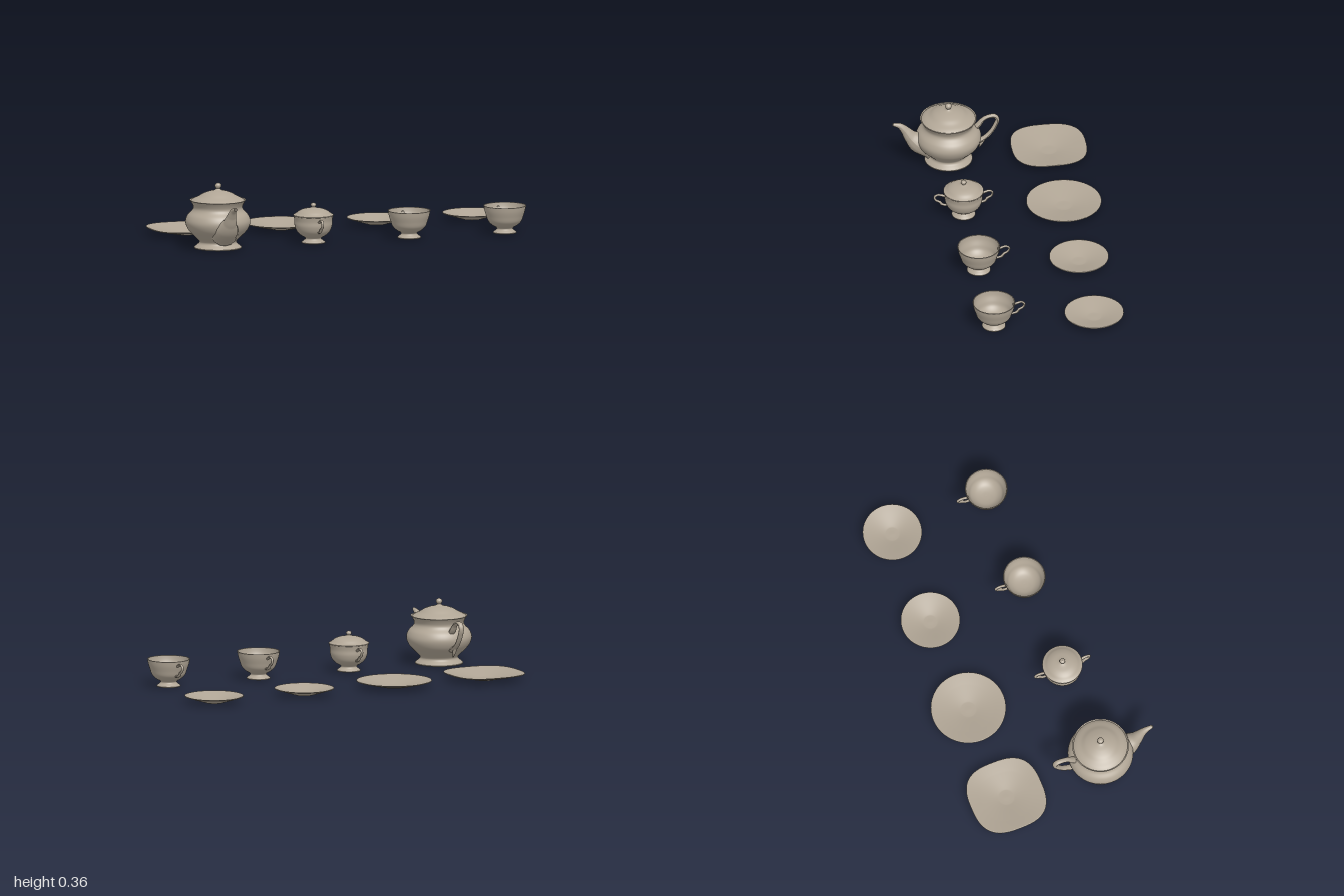
import * as THREE from 'three';

const V2 = (p) => new THREE.Vector2(p[0], p[1]);

export function createModel() {
  const root = new THREE.Group();
  root.name = 'teaSet';
  const china = new THREE.MeshStandardMaterial({ color: 0xb0a595, side: THREE.DoubleSide });
  china.name = 'china';

  const add = (parent, name, geometry) => {
    const mesh = new THREE.Mesh(geometry, china);
    mesh.name = name;
    parent.add(mesh);
    return mesh;
  };
  const group = (name, x, z) => {
    const g = new THREE.Group();
    g.name = name;
    g.position.set(x, 0, z);
    root.add(g);
    return g;
  };

  // Turned shape: each run of [radius, height] points is smoothed, with corners between runs
  const turned = (...runs) => {
    const pts = [];
    for (const run of runs) {
      const smooth = run.length > 2 ? new THREE.SplineCurve(run.map(V2)).getPoints(run.length * 5) : run.map(V2);
      for (const p of smooth) {
        p.x = Math.max(p.x, 0);
        if (!pts.length || pts[pts.length - 1].distanceTo(p) > 1e-5) pts.push(p);
      }
    }
    return new THREE.LatheGeometry(pts, 64);
  };

  // Tube through [z, y] points with a radius at each point, wide in x by the given factor
  const tapered = (points, radii, wide = 1) => {
    const curve = new THREE.CatmullRomCurve3(points.map(([z, y]) => new THREE.Vector3(0, y, z)));
    const n = 48, sides = 16;
    const geo = new THREE.TubeGeometry(curve, n, 1, sides, false);
    const pos = geo.attributes.position;
    const v = new THREE.Vector3();
    for (let i = 0; i <= n; i++) {
      const c = curve.getPointAt(i / n);
      const t = curve.getUtoTmapping(i / n) * (radii.length - 1);
      const k = Math.min(Math.floor(t), radii.length - 2);
      const r = THREE.MathUtils.lerp(radii[k], radii[k + 1], t - k);
      for (let j = 0; j <= sides; j++) {
        const q = i * (sides + 1) + j;
        v.fromBufferAttribute(pos, q).sub(c).multiplyScalar(r);
        v.x *= wide;
        v.add(c);
        pos.setXYZ(q, v.x, v.y, v.z);
      }
    }
    geo.computeVertexNormals();
    return geo;
  };

  // Teapot
  const pot = group('teapot', -0.8, 0.222);
  add(pot, 'teapotBody', turned(
    [[0, 0.007], [0.13, 0.007]],
    [[0.13, 0.012], [0.118, 0.022], [0.104, 0.035], [0.106, 0.05], [0.135, 0.079], [0.164, 0.112], [0.177, 0.15],
      [0.166, 0.185], [0.141, 0.212], [0.134, 0.23], [0.141, 0.25], [0.153, 0.269]],
    [[0.148, 0.268], [0.136, 0.255]],
    [[0.128, 0.23], [0.158, 0.185], [0.169, 0.15], [0.13, 0.085], [0, 0.045]],
  ));
  add(pot, 'teapotLid', turned(
    [[0.128, 0.256], [0.146, 0.262]],
    [[0.146, 0.266], [0.13, 0.277], [0.105, 0.289], [0.08, 0.304], [0.05, 0.315], [0.02, 0.322], [0.01, 0.33]],
    [[0.01, 0.33], [0.017, 0.342], [0.016, 0.352], [0.009, 0.359], [0, 0.361]],
  ));
  add(pot, 'teapotSpout', tapered(
    [[0.1, 0.115], [0.165, 0.133], [0.205, 0.168], [0.234, 0.21], [0.264, 0.243], [0.303, 0.257]],
    [0.085, 0.06, 0.038, 0.025, 0.016, 0.009],
  ));
  add(pot, 'teapotHandle', tapered(
    [[-0.15, 0.195], [-0.168, 0.215], [-0.188, 0.24], [-0.215, 0.255], [-0.252, 0.257], [-0.267, 0.235], [-0.252, 0.19],
      [-0.222, 0.145], [-0.185, 0.115], [-0.15, 0.1]],
    [0.014, 0.014, 0.011, 0.01, 0.011, 0.011, 0.011, 0.011, 0.012, 0.014], 1.3,
  ));
  add(pot, 'handleSpur', tapered([[-0.195, 0.12], [-0.18, 0.09], [-0.167, 0.06]], [0.01, 0.01, 0.001]));

  // Shared foot and bowl outline for the cups and sugar bowl
  const bowl = (rim) => turned(
    [[0, 0.007], [0.064, 0.007]],
    [[0.064, 0.011], [0.055, 0.019], [0.044, 0.028], [0.046, 0.037], [0.068, 0.05], [0.09, 0.072],
      [0.101, 0.102], [rim - 0.005, 0.13], [rim, 0.157]],
    [[rim - 0.004, 0.157], [rim - 0.009, 0.13], [0.095, 0.102], [0.084, 0.075], [0.06, 0.054], [0.03, 0.045], [0, 0.043]],
  );
  const ear = () => tapered(
    [[-0.096, 0.13], [-0.118, 0.139], [-0.142, 0.144], [-0.158, 0.132], [-0.152, 0.112], [-0.13, 0.098], [-0.117, 0.082], [-0.082, 0.073]],
    [0.007, 0.007, 0.006, 0.006, 0.006, 0.007, 0.007, 0.006], 1.15,
  );

  // Sugar bowl with a handle on each side
  const sugar = group('sugarBowl', -0.255, 0.222);
  add(sugar, 'sugarBody', bowl(0.107));
  add(sugar, 'sugarLid', turned(
    [[0.098, 0.153], [0.109, 0.156]],
    [[0.109, 0.16], [0.095, 0.168], [0.078, 0.181], [0.055, 0.191], [0.025, 0.197], [0.01, 0.202]],
    [[0.01, 0.203], [0.015, 0.212], [0.012, 0.221], [0, 0.226]],
  ));
  for (const side of [0, 1]) {
    add(sugar, side ? 'frontHandle' : 'backHandle', ear()).rotation.y = side * Math.PI;
  }

  // Cups and saucers, plates
  const plate = (r, foot) => turned(
    [[0, 0.002], [foot, 0.002]],
    [[foot + 0.003, 0.003], [r * 0.7, 0.021], [r, 0.036]],
    [[r, 0.04], [r * 0.97, 0.04]],
    [[r * 0.7, 0.028], [foot, 0.011], [foot * 0.6, 0.008], [0, 0.008]],
  );
  for (const x of [0.29, 0.835]) {
    const cup = group('cup', x, 0.222);
    add(cup, 'cupBowl', bowl(0.115));
    const handle = add(cup, 'cupHandle', ear());
    handle.position.z = -0.008;
    add(group('saucer', x, -0.325), 'saucerDish', plate(0.16, 0.05));
  }
  add(group('roundPlate', -0.253, -0.325), 'roundDish', plate(0.203, 0.058));

  // Rounded-square plate: push the rim out towards the corners
  const square = plate(0.203, 0.058);
  const pos = square.attributes.position;
  for (let i = 0; i < pos.count; i++) {
    const x = pos.getX(i), z = pos.getZ(i), r = Math.hypot(x, z);
    if (r < 1e-6) continue;
    const e = 2.8;
    const full = Math.pow(Math.pow(Math.abs(x / r), e) + Math.pow(Math.abs(z / r), e), -1 / e);
    const s = THREE.MathUtils.lerp(1, full, THREE.MathUtils.smoothstep(r, 0.04, 0.2));
    pos.setX(i, x * s);
    pos.setZ(i, z * s);
  }
  square.computeVertexNormals();
  add(group('squarePlate', -0.797, -0.325), 'squareDish', square);

  return root;
}
